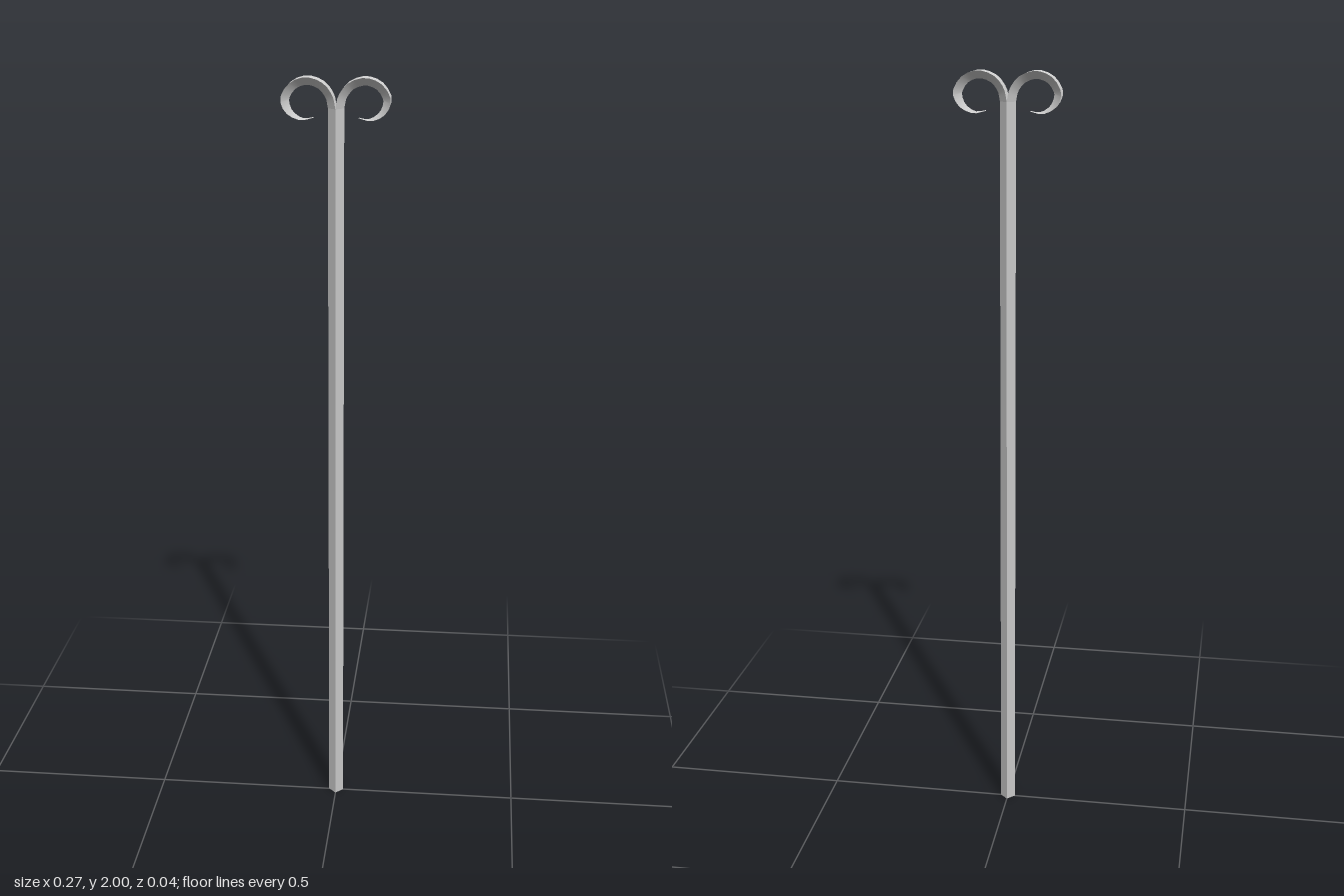
import * as THREE from 'three';

const R = 0.02;       // half diagonal of the square tube
const SPLIT = 1.925;  // height where the tube divides into two curls
const material = new THREE.MeshStandardMaterial({ color: 0xcccccc, side: THREE.DoubleSide });

// Outer rim of one curl, seen from the front
const rim = new THREE.CatmullRomCurve3([
  [0, SPLIT], [0.007, 1.957], [0.031, 1.987], [0.072, 2.0], [0.112, 1.985],
  [0.134, 1.947], [0.119, 1.912], [0.085, 1.896], [0.055, 1.902],
].map(([x, y]) => new THREE.Vector3(x, y, 0)));

// One flat half of a folded strip: rim at z = ±R, fold on the inside of the curl
function curlSide(sx, sz) {
  const steps = 20, pos = [], index = [];
  for (let i = 0; i <= steps; i++) {
    const t = i / steps;
    const p = rim.getPoint(t);
    const d = i === 0 ? new THREE.Vector3(0, 1, 0) : rim.getTangent(t);
    const w = R * (1 - 0.92 * THREE.MathUtils.smoothstep(t, 0.6, 1)); // narrows to the tip
    pos.push(sx * p.x, p.y, sz * w);
    pos.push(sx * (p.x + d.y * w), p.y - d.x * w, 0);
    if (i < steps) {
      const a = 2 * i;
      if (sx * sz > 0) index.push(a, a + 1, a + 2, a + 1, a + 3, a + 2);
      else index.push(a, a + 2, a + 1, a + 1, a + 2, a + 3);
    }
  }
  const g = new THREE.BufferGeometry();
  g.setAttribute('position', new THREE.Float32BufferAttribute(pos, 3));
  g.setIndex(index);
  g.computeVertexNormals();
  return g;
}

export function createModel() {
  const model = new THREE.Group();
  model.name = 'splitStem';

  // Hollow square stem, turned so its corners face the axes
  const flat = material.clone();
  flat.flatShading = true;
  const stem = new THREE.Mesh(new THREE.CylinderGeometry(R, R, SPLIT, 4, 1, true), flat);
  stem.position.y = SPLIT / 2;
  stem.name = 'stem';
  model.add(stem);

  // Two folded strips curling outward
  for (const sx of [1, -1]) {
    const curl = new THREE.Group();
    curl.name = sx > 0 ? 'leftCurl' : 'rightCurl';
    for (const sz of [1, -1]) {
      const side = new THREE.Mesh(curlSide(sx, sz), material);
      side.name = sz > 0 ? 'frontFace' : 'backFace';
      curl.add(side);
    }
    model.add(curl);
  }
  return model;
}
